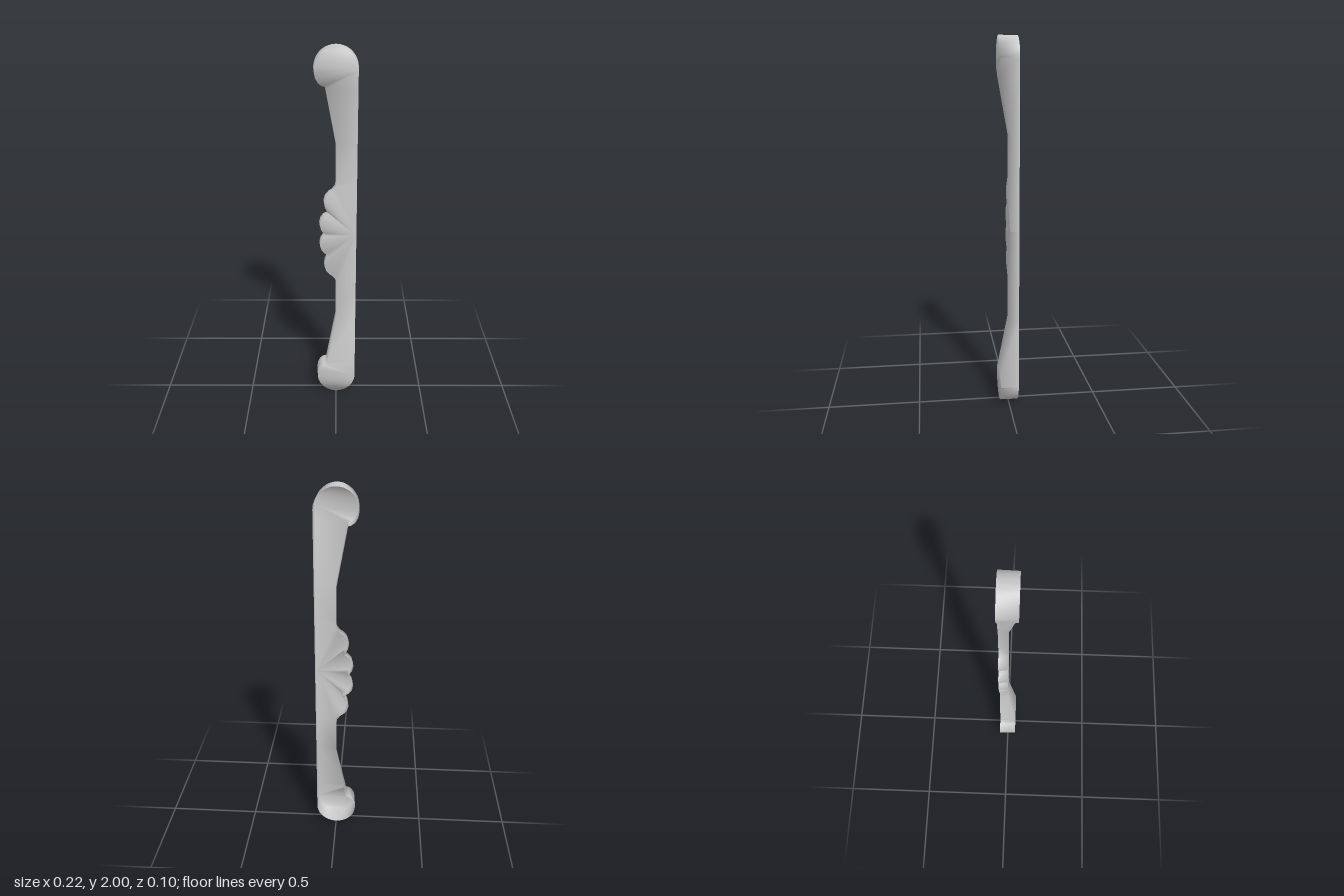
import * as THREE from 'three';

const BACK = -0.05;
const R = 0.112;

// Upper half of the outline from the middle upward: [left y, left x, right y, right x]
function upperHalf() {
  // Scallops, all fanning out from one point on the straight side
  const rows = [
    [1.0, -0.058], [1.012, -0.072], [1.03, -0.085], [1.06, -0.092], [1.09, -0.084], [1.11, -0.068], [1.125, -0.038],
    [1.138, -0.052], [1.16, -0.063], [1.19, -0.068], [1.22, -0.058], [1.24, -0.04], [1.252, -0.022], [1.275, -0.006],
  ].map(([y, l]) => [y, l, 1, R]);
  // Shaft and flare
  for (const [y, l] of [[1.3, -0.002], [1.5, -0.002], [1.8, -0.056]]) rows.push([y, l, y, R]);
  // Hooked underside of the head
  for (const [y, l] of [[1.812, -0.058], [1.817, -0.075], [1.83, -0.092], [1.855, -0.106]]) rows.push([y, l, 2 - R, R]);
  // Rounded head
  for (let i = 0; i <= 14; i++) {
    const a = (i / 14) * Math.PI / 2;
    const y = 2 - R + R * Math.sin(a), x = R * Math.cos(a);
    rows.push([y, -x, y, x]);
  }
  return rows;
}

// Front surface is raised at both ends and low along the shaft
function frontZ(y) {
  const t = THREE.MathUtils.clamp((Math.abs(y - 1) - 0.5) / 0.3, 0, 1);
  return t * 0.048;
}

// Open-backed shell: each row runs left rim, left front, right front, right rim
function loftShell(rows) {
  const pos = [], index = [];
  for (const [yl, l, yr, r] of rows) {
    const draft = Math.min(1, (r - l) / 0.1);
    pos.push(l, yl, BACK, l + 0.005 * draft, yl, frontZ(yl));
    pos.push(r - 0.003 * draft, yr, frontZ(yr), r, yr, BACK);
  }
  for (let i = 0; i < rows.length - 1; i++) {
    for (let j = 0; j < 3; j++) {
      const a = i * 4 + j, b = a + 1, c = b + 4, d = a + 4;
      index.push(a, b, c, a, c, d);
    }
  }
  const geo = new THREE.BufferGeometry();
  geo.setAttribute('position', new THREE.Float32BufferAttribute(pos, 3));
  geo.setIndex(index);
  geo.computeVertexNormals();
  return geo;
}

export function createModel() {
  const group = new THREE.Group();
  group.name = 'pullHandle';
  const top = upperHalf();
  const bottom = top.slice(1).reverse().map(([yl, l, yr, r]) => [2 - yl, l, 2 - yr, r]);
  const material = new THREE.MeshStandardMaterial({ color: 0xcccccc, side: THREE.DoubleSide });
  const handle = new THREE.Mesh(loftShell([...bottom, ...top]), material);
  handle.name = 'scallopedHandle';
  group.add(handle);
  return group;
}
